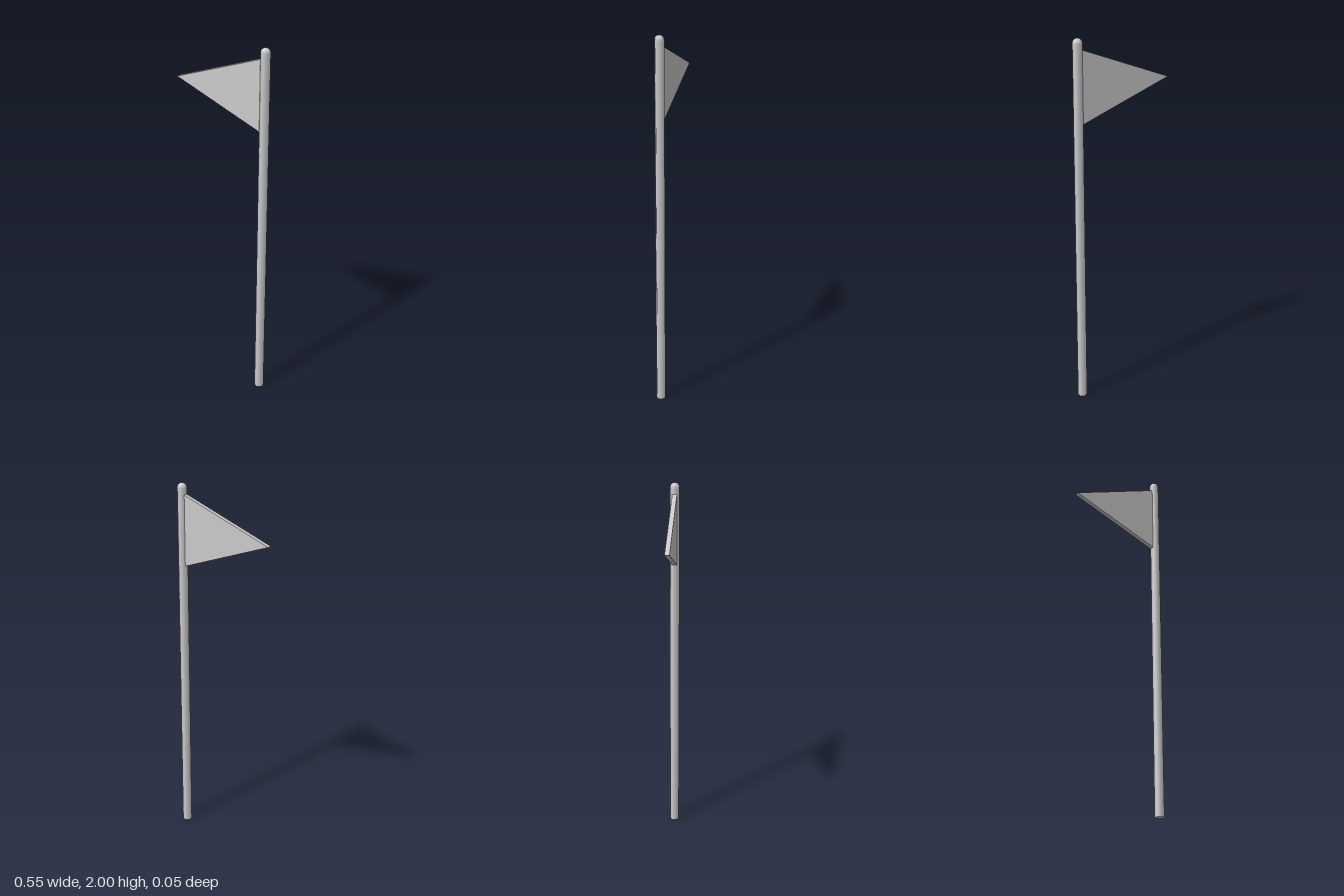
import * as THREE from 'three';

const R = 0.025, POLE_X = 0.252;

export function createModel() {
  const group = new THREE.Group();
  const material = new THREE.MeshStandardMaterial({ color: 0xcccccc });
  const add = (name, geometry) => {
    const mesh = new THREE.Mesh(geometry, material);
    mesh.name = name;
    group.add(mesh);
    return mesh;
  };

  // Six-sided pole with a rounded top, corners facing front and back
  const profile = [new THREE.Vector2(R, 0), new THREE.Vector2(R, 1.97)];
  for (let i = 0; i <= 4; i++) {
    const a = (i / 4) * Math.PI / 2;
    profile.push(new THREE.Vector2(i === 4 ? 0 : R * Math.cos(a), 1.978 + 0.022 * Math.sin(a)));
  }
  add('pole', new THREE.LatheGeometry(profile, 6)).position.x = POLE_X;

  // Flat underside of the pole
  const base = new THREE.CircleGeometry(R, 6, Math.PI / 2).rotateX(Math.PI / 2);
  add('poleBase', base).position.x = POLE_X;

  // Triangular pennant, as thick as the pole face it grows from
  const edgeX = POLE_X - R * Math.cos(Math.PI / 6);
  const triangle = new THREE.Shape([
    new THREE.Vector2(-0.274, 1.75),
    new THREE.Vector2(edgeX, 1.56),
    new THREE.Vector2(edgeX, 1.94),
  ]);
  const pennant = new THREE.ExtrudeGeometry(triangle, { depth: R, bevelEnabled: false });
  add('pennant', pennant).position.z = -R / 2;

  return group;
}
